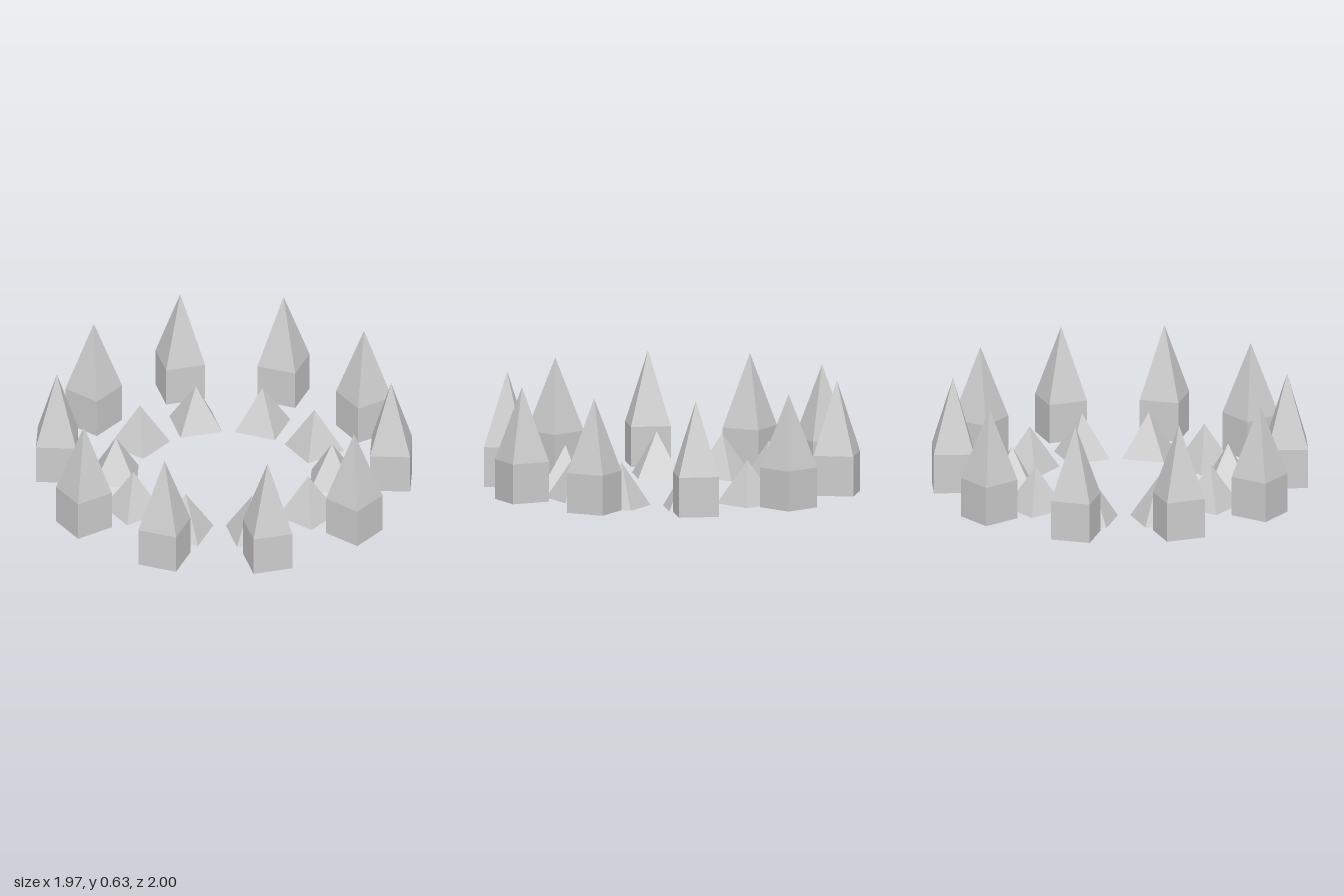
import * as THREE from 'three';

const COUNT = 10;
const material = new THREE.MeshStandardMaterial({ color: 0xcccccc, flatShading: true });

// Square pyramid with sides parallel to x and z, standing at height y
function pyramid(side, height, y, closed) {
  const geometry = new THREE.ConeGeometry(side / Math.SQRT2, height, 4, 1, !closed);
  geometry.rotateY(Math.PI / 4);
  geometry.translate(0, y + height / 2, 0);
  return geometry;
}

function part(name, geometry) {
  const mesh = new THREE.Mesh(geometry, material);
  mesh.name = name;
  return mesh;
}

// Repeats a part evenly around the centre, each copy facing outward
function ring(name, radius, build) {
  const group = new THREE.Group();
  group.name = name;
  for (let i = 0; i < COUNT; i++) {
    const angle = (i / COUNT) * Math.PI * 2;
    const item = build();
    item.position.set(Math.sin(angle) * radius, 0, Math.cos(angle) * radius);
    item.rotation.y = angle;
    group.add(item);
  }
  return group;
}

export function createModel() {
  const model = new THREE.Group();
  model.name = 'spikeRings';

  // Outer ring: cubes topped by tall points
  const side = 0.215, bottom = 0.015, shoulder = 0.23, tip = 0.626;
  const blockGeometry = new THREE.BoxGeometry(side, shoulder - bottom, side);
  blockGeometry.translate(0, (bottom + shoulder) / 2, 0);
  const pointGeometry = pyramid(side, tip - shoulder, shoulder, false);
  model.add(ring('outerSpires', 1 - side / 2, () => {
    const spire = new THREE.Group();
    spire.name = 'spire';
    spire.add(part('spireBlock', blockGeometry), part('spirePoint', pointGeometry));
    return spire;
  }));

  // Inner ring: low pyramids
  const lowGeometry = pyramid(0.23, 0.237, 0, true);
  model.add(ring('innerPyramids', 0.577, () => part('pyramid', lowGeometry)));

  return model;
}
